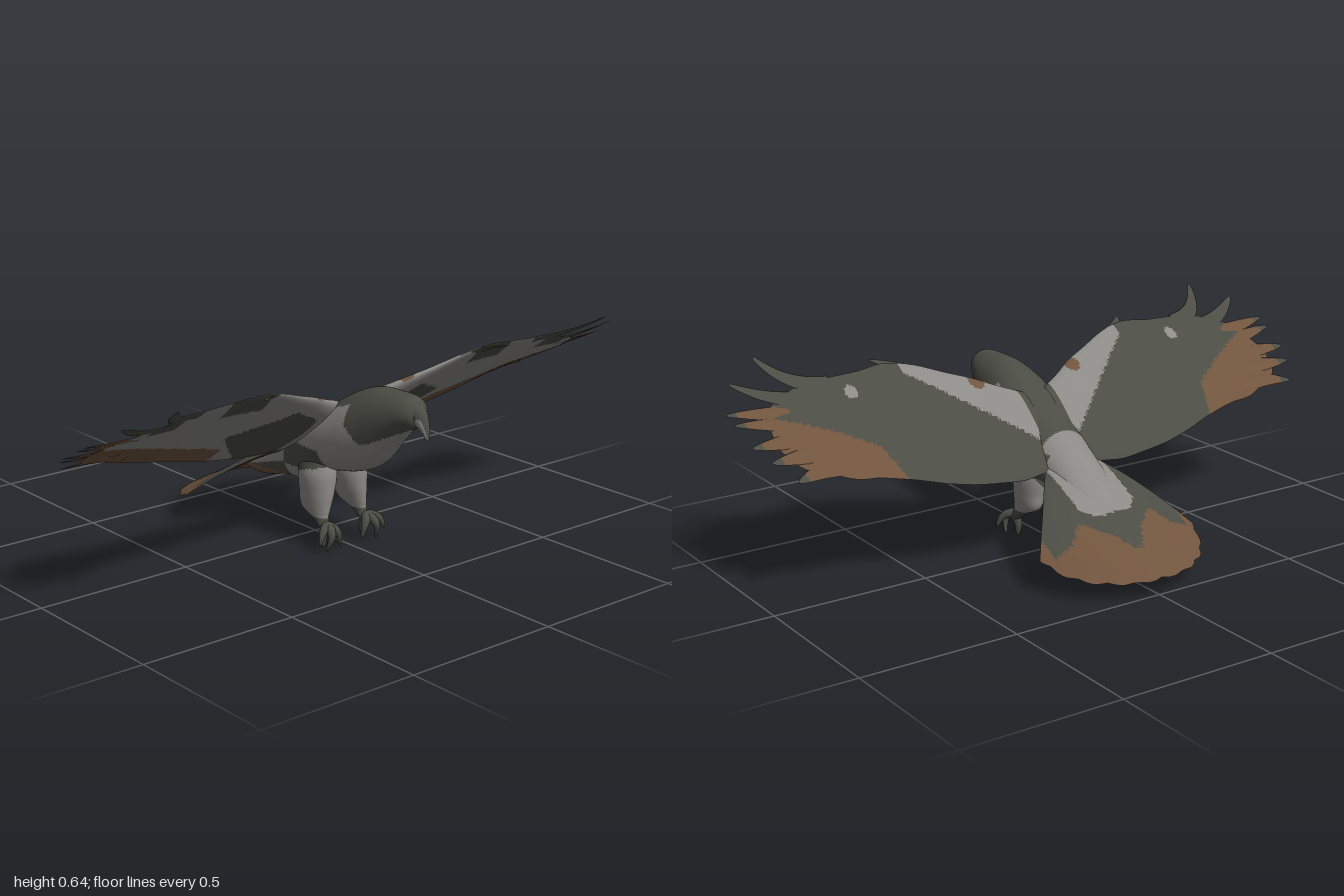
import * as THREE from 'three';

const mat = (name, color) => {
  const m = new THREE.MeshStandardMaterial({ color });
  m.name = name;
  return m;
};
const MATS = [mat('dark plumage', 0x4b4c44), mat('grey plumage', 0x8b8a86), mat('brown plumage', 0x70543e)];
const DARK = 0, GREY = 1, BROWN = 2;

// Smooth interpolation of table rows [key, a, b, ...] with ascending keys
function sample(rows, k) {
  const n = rows.length;
  if (k <= rows[0][0]) return rows[0].slice(1);
  if (k >= rows[n - 1][0]) return rows[n - 1].slice(1);
  let i = 0;
  while (rows[i + 1][0] < k) i++;
  const h = rows[i + 1][0] - rows[i][0], t = (k - rows[i][0]) / h;
  const slope = (j, c) => {
    const p = rows[Math.max(0, j - 1)], q = rows[Math.min(n - 1, j + 1)];
    return (q[c] - p[c]) / (q[0] - p[0]);
  };
  return rows[i].slice(1).map((_, d) => {
    const c = d + 1, a = rows[i][c], b = rows[i + 1][c];
    return a * (1 + 2 * t) * (1 - t) ** 2 + slope(i, c) * h * t * (1 - t) ** 2
      + b * t * t * (3 - 2 * t) + slope(i + 1, c) * h * t * t * (t - 1);
  });
}

// Lofted skin: point(u, angle) gives rings along u; paint(x, y, z, angle) picks a colour
function skin(name, nu, nv, point, paint) {
  const pos = [], lists = [[], [], []];
  for (let i = 0; i <= nu; i++)
    for (let j = 0; j < nv; j++) pos.push(...point(i / nu, (j / nv) * Math.PI * 2));
  const P = (i) => new THREE.Vector3().fromArray(pos, i * 3);
  const origin = P(Math.floor(nu / 2) * nv);
  let volume = 0;
  for (let i = 0; i < nu; i++) for (let j = 0; j < nv; j++) {
    const a = i * nv + j, b = i * nv + (j + 1) % nv, c = a + nv, d = b + nv;
    const angle = ((j + 0.5) / nv) * Math.PI * 2;
    for (const tri of [[a, b, d], [a, d, c]]) {
      const [p, q, r] = tri.map(P);
      const m = p.clone().add(q).add(r).divideScalar(3);
      lists[paint(m.x, m.y, m.z, angle)].push(tri);
      volume += p.sub(origin).dot(q.sub(origin).cross(r.sub(origin)));
    }
  }
  // Turn all faces outward
  if (volume < 0) lists.forEach((l) => l.forEach((t) => t.reverse()));
  const geo = new THREE.BufferGeometry();
  geo.setAttribute('position', new THREE.Float32BufferAttribute(pos, 3));
  geo.setIndex(lists.flat(2));
  let start = 0;
  lists.forEach((l, k) => {
    if (l.length) geo.addGroup(start, l.length * 3, k);
    start += l.length * 3;
  });
  geo.computeVertexNormals();
  const mesh = new THREE.Mesh(geo, MATS);
  mesh.name = name;
  return mesh;
}

// Body stations: z, top, bottom, half width
const BODY = [
  [-0.3, 0.165, 0.165, 0], [-0.27, 0.19, 0.15, 0.06], [-0.2, 0.238, 0.142, 0.08], [-0.1, 0.31, 0.165, 0.088],
  [0, 0.375, 0.175, 0.1], [0.12, 0.45, 0.232, 0.116], [0.22, 0.508, 0.255, 0.11], [0.3, 0.535, 0.292, 0.094],
  [0.37, 0.538, 0.37, 0.078], [0.42, 0.538, 0.42, 0.062], [0.45, 0.532, 0.44, 0.048], [0.47, 0.515, 0.452, 0.03],
  [0.482, 0.485, 0.485, 0]];

function makeBody() {
  return skin('body', 150, 72, (u, a) => {
    const z = -0.3 + 0.782 * u, [top, bot, w] = sample(BODY, z);
    return [w * Math.sin(a), (top + bot) / 2 + ((top - bot) / 2) * Math.cos(a), z];
  }, (x, y, z, a) => {
    if (z > 0.25 && y > 0.375 + Math.max(0, 0.3 - z) + Math.max(0, z - 0.32) * 0.5) return DARK; // hood
    if (z > 0 && Math.cos(a) > 0.3 && (Math.abs(x) < 0.076 || z < 0.03)) return DARK; // nape
    if (z < 0.02 && y < 0.185) return BROWN; // undertail
    if (z < 0.14 && z > -0.04 && y > 0.235 && y < 0.32) return DARK; // flank
    return z < -0.04 && y < 0.24 + (z + 0.04) * 0.3 ? DARK : GREY;
  });
}

// Wing outline: x, leading z, trailing z, half thickness
const WING = [
  [0.04, 0.17, -0.05, 0.05], [0.12, 0.205, -0.06, 0.046], [0.18, 0.235, -0.068, 0.04], [0.27, 0.265, -0.066, 0.032],
  [0.36, 0.293, -0.062, 0.024], [0.45, 0.308, -0.05, 0.016], [0.55, 0.3, -0.03, 0.012], [0.65, 0.303, -0.02, 0.01],
  [0.73, 0.308, -0.025, 0.009], [0.8, 0.29, -0.005, 0.007], [0.86, 0.255, 0.02, 0.005], [0.89, 0.2, 0.06, 0.003],
  [0.905, 0.14, 0.11, 0.001]];
// Wing surface: x, height at z = 0, slope along z
const LIFT = [[0, 0.318, 0.8], [0.2, 0.325, 0.8], [0.4, 0.343, 0.8], [0.6, 0.362, 0.73], [0.8, 0.394, 0.55], [1, 0.4, 0.5]];
const wingY = (x, z) => {
  const [y, k] = sample(LIFT, x);
  return y + k * z;
};

function paintWing(sx, y, z, a) {
  const x = Math.abs(sx);
  if (a < Math.PI) { // upper side
    if (Math.hypot(x - 0.18, (z - 0.21) * 0.8) < 0.024) return BROWN;
    if (Math.hypot(x - 0.6, z - 0.24) < 0.02) return GREY;
    if (x > 0.06 && x < 0.41 && z > 0.02 + (x - 0.08) * 0.74) return GREY;
    return x > 0.57 + 0.4 * z + 1.5 * Math.max(0, z - 0.07) ? BROWN : DARK;
  }
  if (x > 0.38 && y < 0.355 + (x - 0.4) * 0.27) return BROWN;
  if (x > 0.13 && y < Math.min(0.42 + (x - 0.12) * 0.5, 0.48 - (x - 0.25) * 0.4) && y > 0.28 + (x - 0.28) * 0.9) return DARK;
  if (y > 0.525 && (Math.abs(x - 0.47) < 0.07 || Math.abs(x - 0.75) < 0.05)) return DARK;
  return GREY;
}

// Flight feathers: root, middle and tip as x, z pairs, half width, tip rise, colour
const FEATHERS = [
  [0.36, 0.27, 0.43, 0.3, 0.47, 0.362, 0.02, -0.04, DARK],
  [0.65, 0.28, 0.78, 0.31, 0.825, 0.435, 0.03, 0.015, DARK],
  [0.75, 0.26, 0.86, 0.29, 0.945, 0.352, 0.03, 0.02, DARK],
  [0.81, 0.225, 0.9, 0.245, 1.0, 0.252, 0.03, 0.01, BROWN],
  [0.81, 0.18, 0.9, 0.205, 0.995, 0.21, 0.03, 0.01, BROWN],
  [0.8, 0.13, 0.9, 0.13, 0.985, 0.118, 0.033, 0.01, BROWN],
  [0.77, 0.075, 0.87, 0.068, 0.955, 0.055, 0.035, 0.01, BROWN],
  [0.72, 0.025, 0.83, 0.015, 0.91, -0.015, 0.036, 0, BROWN]];

function makeWing(s) {
  const wing = new THREE.Group();
  wing.name = s > 0 ? 'leftWing' : 'rightWing';
  wing.add(skin('wingBlade', 120, 72, (u, a) => {
    const x = 0.04 + 0.865 * u, [lead, trail, t] = sample(WING, x);
    const c = (1 + Math.cos(a)) / 2, z = trail + (lead - trail) * c;
    return [s * x, wingY(x, z) + t * Math.sin(a) * (0.35 + 0.65 * c), z];
  }, paintWing));
  for (const [x0, z0, x1, z1, x2, z2, w, rise, colour] of FEATHERS) {
    const curve = new THREE.QuadraticBezierCurve(
      new THREE.Vector2(x0, z0), new THREE.Vector2(x1, z1), new THREE.Vector2(x2, z2));
    wing.add(skin('flightFeather', 24, 12, (u, a) => {
      const p = curve.getPoint(u), d = curve.getTangent(u);
      const r = w * Math.sqrt(1 - u * u) * (1 - 0.35 * u);
      const x = p.x - d.y * r * Math.cos(a), z = p.y + d.x * r * Math.cos(a);
      return [s * x, wingY(x, z) + 0.005 * Math.sin(a) * (1 - u) + rise * u * u, z];
    }, (x) => (Math.abs(x) > x2 - 0.035 ? DARK : colour)));
  }
  return wing;
}

// Tail fan: z, upper height
const TAIL = [[-0.53, 0.053], [-0.35, 0.138], [-0.2, 0.218], [-0.1, 0.265], [0, 0.3], [0.08, 0.32]];

function makeTail() {
  return skin('tailFan', 70, 96, (u, a) => {
    const f = Math.cos(a), ang = f * 0.65;
    const R = 0.6 - 0.132 * f * f - 0.01 * (1 - Math.abs(Math.sin(f * 14)));
    const x = Math.sin(ang) * R * u, z = 0.08 - Math.cos(ang) * R * u;
    return [x, sample(TAIL, z)[0] - 0.8 * x * x + 0.017 * Math.sin(a) * (1 - u * u), z];
  }, (sx, y, z, a) => {
    const x = Math.abs(sx);
    if (a > Math.PI) return BROWN;
    if (x < 0.1 && z > -0.27 + Math.max(0, x - 0.06)) return GREY;
    const edge = -0.315 - 0.09 * Math.exp(-((x / 0.045) ** 2)) + 0.045 * Math.exp(-(((x - 0.13) / 0.035) ** 2));
    return z < edge || x > 0.245 ? BROWN : DARK;
  });
}

// Thigh to foot: drop, y, x, z, x radius, z radius
const LEG = [[0, 0.28, 0.055, 0.08, 0.04, 0.06], [0.2, 0.23, 0.06, 0.083, 0.052, 0.069], [0.45, 0.17, 0.066, 0.086, 0.044, 0.066],
  [0.7, 0.12, 0.073, 0.09, 0.031, 0.058], [0.85, 0.093, 0.077, 0.118, 0.02, 0.03], [1, 0.06, 0.08, 0.152, 0.016, 0.02]];
// Toes: middle and tip
const TOES = [
  [0.115, 0.085, 0.175, 0.13, 0.03, 0.178], [0.088, 0.075, 0.21, 0.1, 0.003, 0.17],
  [0.05, 0.075, 0.185, 0.045, 0.008, 0.167], [0.075, 0.045, 0.125, 0.08, 0.003, 0.138]];

function makeLeg(s) {
  const leg = new THREE.Group();
  leg.name = s > 0 ? 'leftLeg' : 'rightLeg';
  leg.add(skin('thigh', 48, 28, (u, a) => {
    const [y, x, z, rx, rz] = sample(LEG, u);
    return [s * (x + rx * Math.cos(a)), y, z + rz * Math.sin(a)];
  }, (x, y, z, a) => (y < 0.1 || (Math.cos(a) > -0.2 && y > 0.22 + z * 0.3) ? DARK : GREY)));
  for (const [mx, my, mz, tx, ty, tz] of TOES) {
    const curve = new THREE.QuadraticBezierCurve3(
      new THREE.Vector3(0.08, 0.075, 0.15), new THREE.Vector3(mx, my, mz), new THREE.Vector3(tx, ty, tz));
    leg.add(skin('toe', 14, 10, (u, a) => {
      const p = curve.getPoint(u), d = curve.getTangent(u), r = 0.017 * Math.sqrt(1 - u);
      const side = new THREE.Vector3(1, 0, 0).addScaledVector(d, -d.x).normalize();
      p.addScaledVector(side, r * Math.cos(a)).addScaledVector(d.cross(side), r * Math.sin(a));
      return [s * p.x, p.y, p.z];
    }, () => DARK));
  }
  return leg;
}

// Hooked beak: step, y, z, half width, half height
const BEAK = [[0, 0.487, 0.455, 0.034, 0.036], [0.4, 0.475, 0.477, 0.024, 0.029], [0.7, 0.455, 0.492, 0.016, 0.02],
  [0.9, 0.432, 0.503, 0.009, 0.011], [1, 0.413, 0.509, 0, 0]];

function makeBeak() {
  return skin('beak', 24, 20, (u, a) => {
    const [y, z, w, h] = sample(BEAK, u);
    return [w * Math.cos(a), y + h * Math.sin(a) * 0.85, z + h * Math.sin(a) * 0.4];
  }, (x, y, z, a) => (Math.sin(a) > 0.7 || y > 0.478 ? DARK : GREY));
}

export function createModel() {
  const bird = new THREE.Group();
  bird.name = 'bird';
  bird.add(makeBody(), makeBeak(), makeTail());
  for (const s of [1, -1]) bird.add(makeWing(s), makeLeg(s));
  return bird;
}
